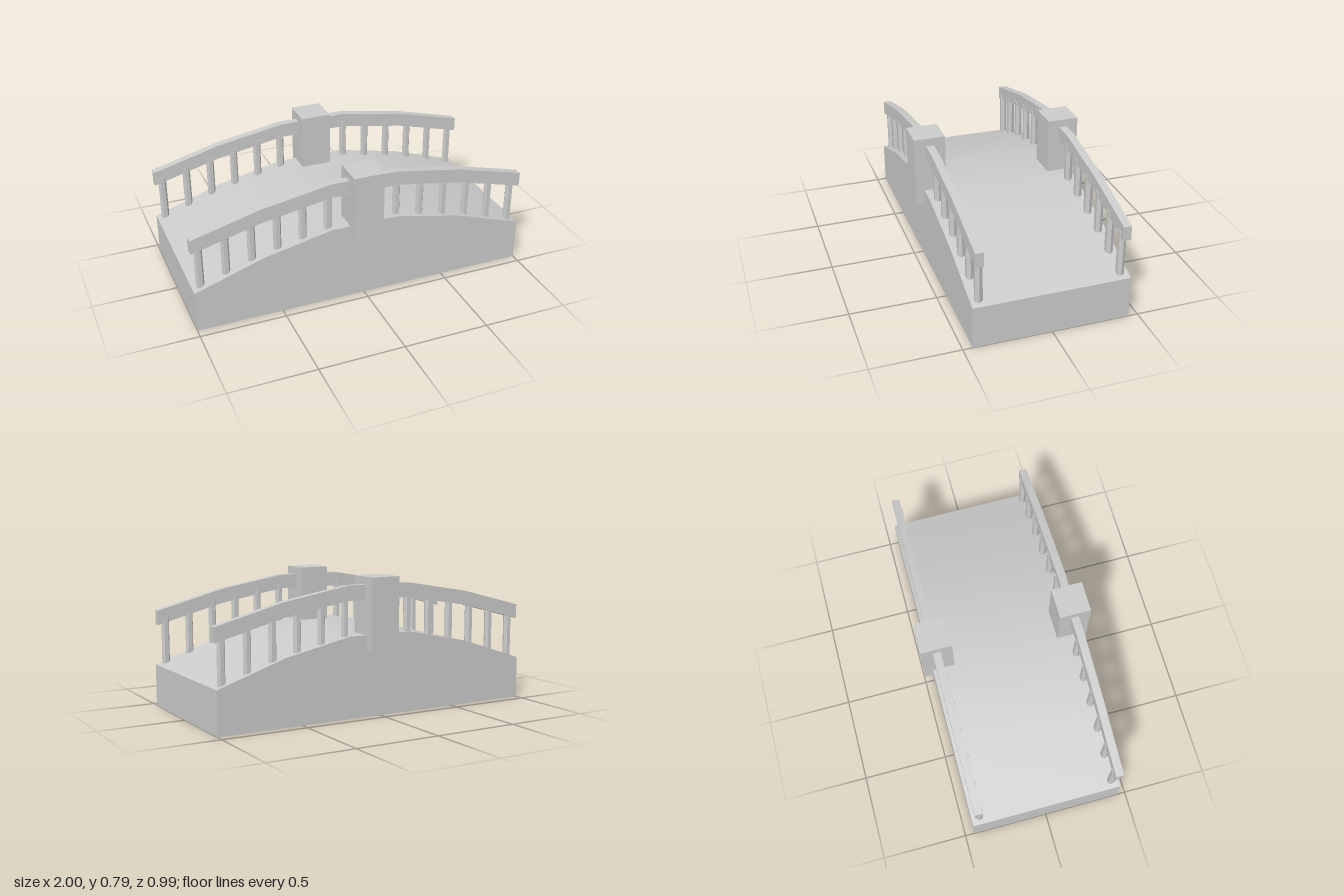
import * as THREE from 'three';

const material = new THREE.MeshStandardMaterial({ color: 0xcccccc, side: THREE.DoubleSide });
const flatMaterial = new THREE.MeshStandardMaterial({ color: 0xcccccc, flatShading: true });

// Arch heights at |x| = 0.2, 0.6 and 1, straight in between
const archHeight = ([crown, middle, end]) => (x) => {
  const a = Math.abs(x);
  if (a <= 0.2) return crown;
  return a <= 0.6
    ? THREE.MathUtils.lerp(crown, middle, (a - 0.2) / 0.4)
    : THREE.MathUtils.lerp(middle, end, (a - 0.6) / 0.4);
};
const deckTop = archHeight([0.465, 0.38, 0.247]);
const railTop = archHeight([0.745, 0.677, 0.572]);
const railHeight = 0.084;
const railBottom = (x) => railTop(x) - railHeight;

// Box of five spans whose upper and lower faces follow height rules
function archedBox(depth, top, bottom) {
  const geometry = new THREE.BoxGeometry(2, 1, depth, 5, 1, 1);
  const p = geometry.attributes.position;
  for (let i = 0; i < p.count; i++) {
    const x = p.getX(i);
    p.setY(i, p.getY(i) > 0 ? top(x) : bottom(x));
  }
  geometry.computeVertexNormals();
  return geometry;
}

function addMesh(parent, name, geometry, x = 0, y = 0, z = 0, mat = material) {
  const mesh = new THREE.Mesh(geometry, mat);
  mesh.name = name;
  mesh.position.set(x, y, z);
  parent.add(mesh);
  return mesh;
}

export function createModel() {
  const bridge = new THREE.Group();
  bridge.name = 'bridge';

  // Hollow body: arched deck and four walls, open underneath
  const body = archedBox(0.89, deckTop, () => 0);
  const floor = body.groups[3];
  const index = Array.from(body.index.array);
  index.splice(floor.start, floor.count);
  body.setIndex(index);
  body.clearGroups();
  addMesh(bridge, 'deckBody', body);

  for (const side of [1, -1]) {
    const railing = new THREE.Group();
    railing.name = side > 0 ? 'frontRailing' : 'backRailing';
    bridge.add(railing);

    // Handrail and central pillar
    addMesh(railing, 'handrail', archedBox(0.046, railTop, railBottom), 0, 0, side * 0.405);
    addMesh(railing, 'pillar', new THREE.BoxGeometry(0.18, 0.413, 0.182), 0, 0.5835, side * 0.405);

    // Six-sided balusters, sunk into the deck and the handrail
    for (let i = 0; i < 6; i++) {
      for (const end of [-1, 1]) {
        const x = end * (0.208 + i * 0.149);
        const bottom = deckTop(x) - (i > 3 ? 0.045 : 0.015);
        const top = railBottom(x) + 0.03;
        const post = new THREE.CylinderGeometry(0.0235, 0.0235, top - bottom, 6);
        post.rotateY(Math.PI / 2);
        addMesh(railing, 'baluster', post, x, (top + bottom) / 2, side * 0.398, flatMaterial);
      }
    }
  }
  return bridge;
}
